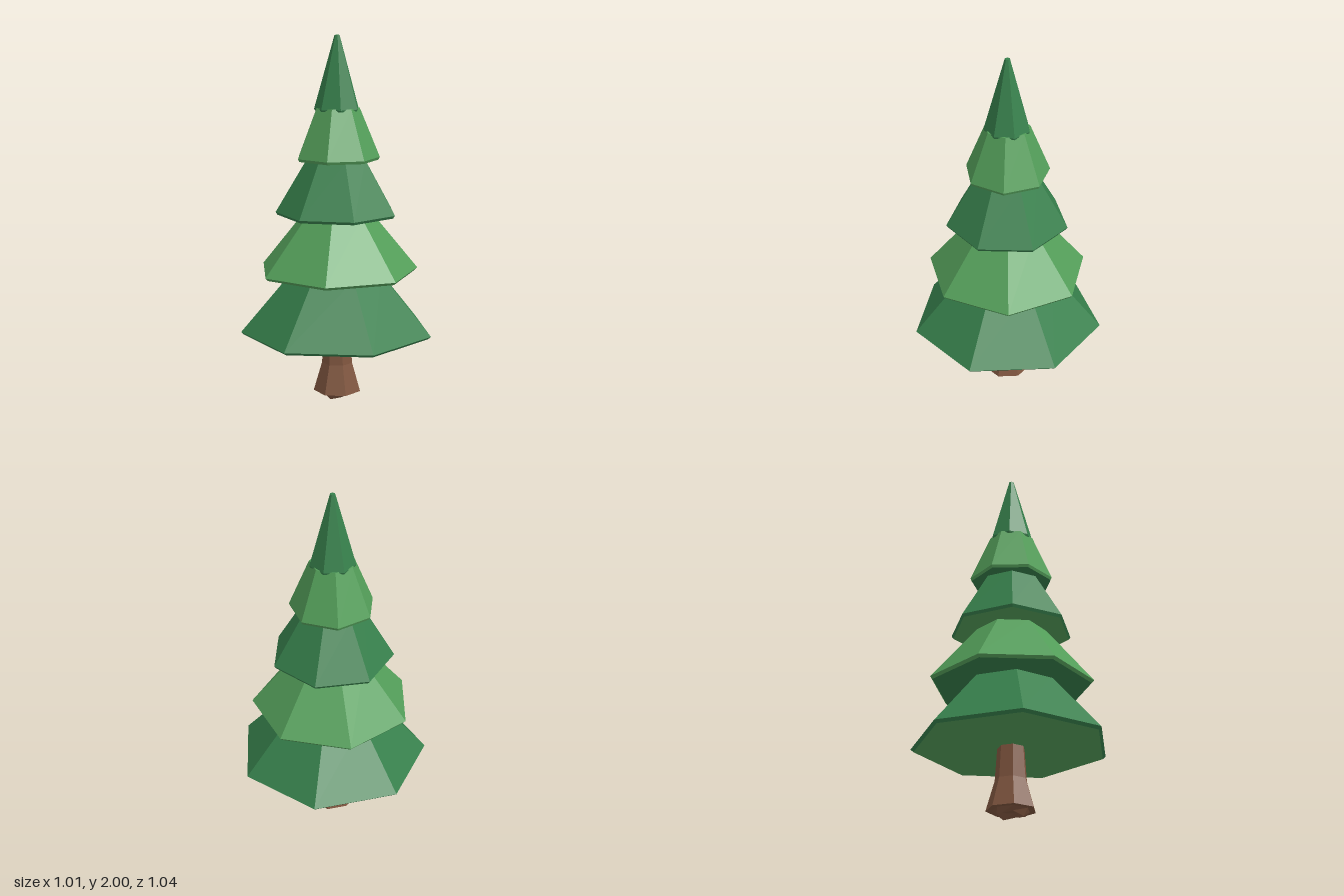
import * as THREE from 'three';

const SIDES = 7;

// Faceted surface through rings [radius, height], listed bottom to top.
// A height may be an array with one value per corner; radius 0 makes a point.
function loft(rings, turn = 0) {
  const point = ([r, y], i) => {
    const a = turn + (i / SIDES) * Math.PI * 2;
    return [r * Math.cos(a), Array.isArray(y) ? y[i % SIDES] : y, -r * Math.sin(a)];
  };
  const pos = [];
  for (let k = 0; k < rings.length - 1; k++) {
    const [low, high] = [rings[k], rings[k + 1]];
    for (let i = 0; i < SIDES; i++) {
      const a = point(low, i), b = point(low, i + 1);
      const c = point(high, i + 1), d = point(high, i);
      if (low[0] > 0) pos.push(...a, ...b, ...c);
      if (high[0] > 0) pos.push(...a, ...c, ...d);
    }
  }
  const geo = new THREE.BufferGeometry();
  geo.setAttribute('position', new THREE.Float32BufferAttribute(pos, 3));
  geo.computeVertexNormals();
  return geo;
}

function material(name, color) {
  const m = new THREE.MeshStandardMaterial({ color, flatShading: true });
  m.name = name;
  return m;
}

export function createModel() {
  const tree = new THREE.Group();
  tree.name = 'pineTree';
  const darkGreen = material('darkGreen', 0x37804c);
  const lightGreen = material('lightGreen', 0x549f5a);
  const bark = material('bark', 0x80563f);

  const add = (parent, name, geo, mat) => {
    const mesh = new THREE.Mesh(geo, mat);
    mesh.name = name;
    parent.add(mesh);
  };

  // Flared trunk with jagged root tips underneath
  const rootTips = [0.025, 0.008, 0.03, 0.01, 0.02, 0.0, 0.015];
  add(tree, 'trunk', loft([
    [0, 0.038], [0.045, 0.038], [0.075, rootTips], [0.1, 0.04],
    [0.133, 0.04], [0.086, 0.2], [0.073, 0.385],
  ]), bark);

  // Foliage tiers: radius, rim height, lip depth, top radius, top height, turn in degrees
  const tiers = [
    [0.533, 0.39, 0.015, 0.25, 0.72, 0],
    [0.443, 0.73, 0.015, 0.19, 1.04, 23.2],
    [0.335, 1.05, 0.015, 0.163, 1.34, -5.2],
    [0.23, 1.35, 0.015, 0.121, 1.615, 17.8],
    [0.124, 1.61, 0.01, 0.014, 2.0, -11.5],
  ];
  tiers.forEach(([r, y, lip, topR, topY, deg], i) => {
    const tier = new THREE.Group();
    tier.name = `foliageTier${i + 1}`;
    const [main, other] = i % 2 ? [lightGreen, darkGreen] : [darkGreen, lightGreen];
    const turn = THREE.MathUtils.degToRad(deg);
    add(tier, 'branches', loft([[r * 0.97, y - lip], [r, y], [topR, topY], [0, topY]], turn), main);
    add(tier, 'underside', loft([[0, y - lip], [r * 0.97, y - lip]], turn), other);
    tree.add(tier);
  });

  // The widest tier points to +x, so shift to centre the whole width
  tree.position.x = -0.027;
  const model = new THREE.Group();
  model.name = 'model';
  model.add(tree);
  return model;
}
